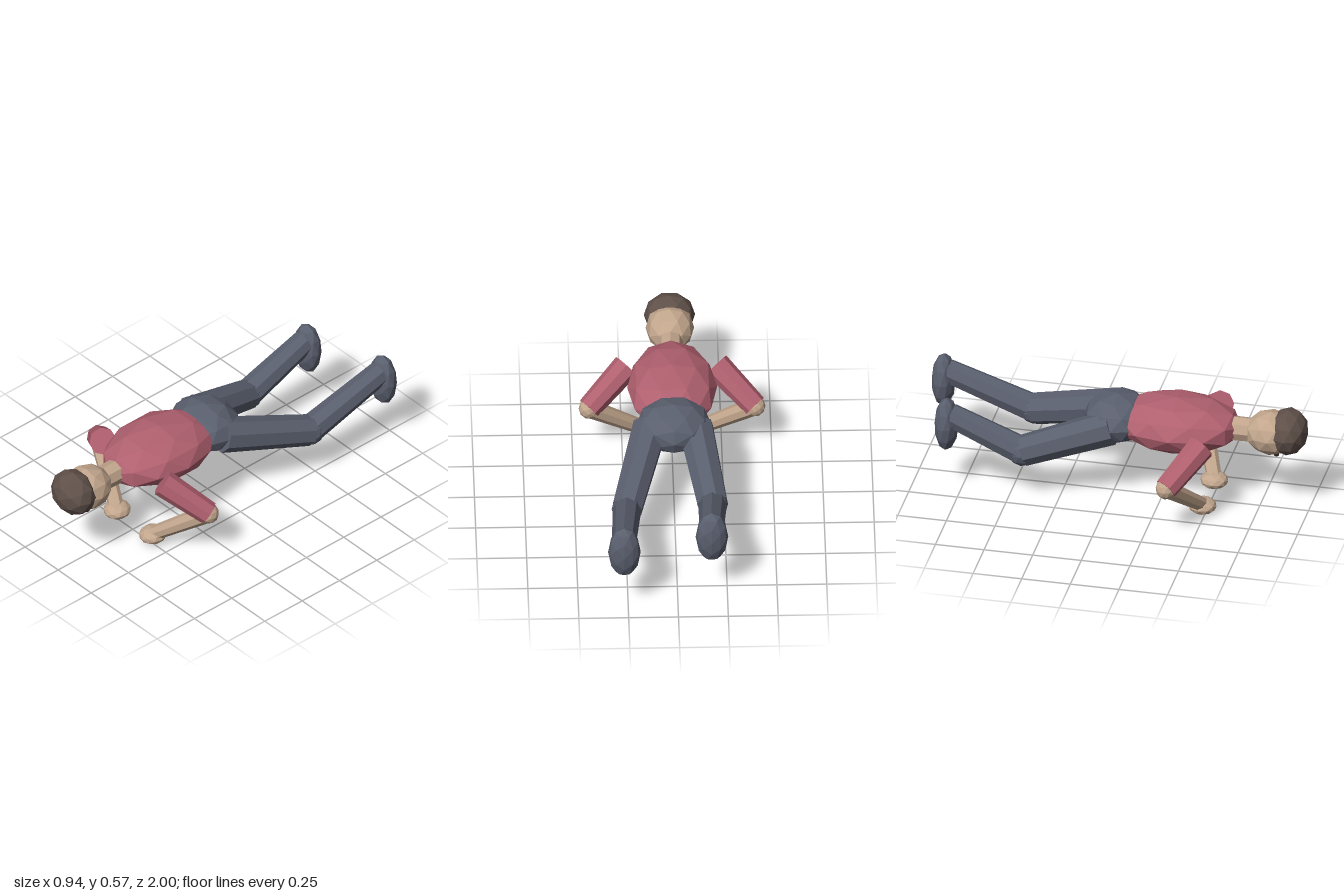
import * as THREE from 'three';

const mat = (name, color) => {
  const m = new THREE.MeshStandardMaterial({ color, flatShading: true });
  m.name = name;
  return m;
};

export function createModel() {
  const skin = mat('skin', 0xc2a68d);
  const shirt = mat('shirt', 0xb0606f);
  const trousers = mat('trousers', 0x5a5f6e);
  const hair = mat('hair', 0x5f5049);
  const eye = mat('eye', 0x2a2422);

  const body = new THREE.Group();
  body.name = 'proneFigure';

  // Faceted ellipsoid
  const blob = (name, material, center, radii) => {
    const geo = new THREE.IcosahedronGeometry(1, 1).scale(...radii);
    const mesh = new THREE.Mesh(geo, material);
    mesh.name = name;
    mesh.position.set(...center);
    body.add(mesh);
  };

  // Eight-sided tapered limb between two points
  const limb = (name, material, from, to, r0, r1) => {
    const a = new THREE.Vector3(...from), b = new THREE.Vector3(...to);
    const dir = b.clone().sub(a);
    const mesh = new THREE.Mesh(new THREE.CylinderGeometry(r1, r0, dir.length(), 8), material);
    mesh.name = name;
    mesh.position.copy(a).add(b).multiplyScalar(0.5);
    mesh.quaternion.setFromUnitVectors(new THREE.Vector3(0, 1, 0), dir.normalize());
    body.add(mesh);
  };

  // Trunk
  blob('torso', shirt, [0, 0.43, 0.325], [0.226, 0.14, 0.335]);
  blob('pelvis', trousers, [0, 0.43, 0.02], [0.19, 0.126, 0.172]);

  // Head, face down with the crown pointing forward
  limb('neck', skin, [0, 0.43, 0.55], [0, 0.43, 0.76], 0.065, 0.062);
  blob('head', skin, [0, 0.43, 0.81], [0.122, 0.115, 0.135]);
  blob('hair', hair, [0, 0.445, 0.897], [0.129, 0.12, 0.101]);

  for (const s of [1, -1]) {
    const side = s > 0 ? 'left' : 'right';
    blob(side + 'Eye', eye, [s * 0.043, 0.332, 0.845], [0.016, 0.013, 0.014]);

    // Arms, mirrored
    const elbow = [s * 0.417, 0.275, 0.36];
    limb(side + 'UpperArm', shirt, [s * 0.225, 0.43, 0.5], elbow, 0.07, 0.06);
    blob(side + 'Elbow', skin, elbow, [0.052, 0.054, 0.052]);
    limb(side + 'Forearm', skin, elbow, [s * 0.145, 0.055, 0.482], 0.048, 0.038);
    blob(side + 'Hand', skin, [s * 0.135, 0.043, 0.485], [0.068, 0.042, 0.072]);
  }

  // Legs, the left one reaching farther back
  const legs = [
    { side: 'left', hip: [0.12, 0.42, 0.01], knee: [0.245, 0.277, -0.465], foot: [0.27, 0.372, -0.937] },
    { side: 'right', hip: [-0.11, 0.42, 0.01], knee: [-0.185, 0.272, -0.43], foot: [-0.172, 0.372, -0.823] },
  ];
  for (const { side, hip, knee, foot } of legs) {
    limb(side + 'Thigh', trousers, hip, knee, 0.092, 0.08);
    blob(side + 'Knee', trousers, knee, [0.078, 0.078, 0.078]);
    limb(side + 'Shin', trousers, knee, [foot[0], 0.425, foot[2] + 0.02], 0.073, 0.062);
    blob(side + 'Foot', trousers, foot, [0.082, 0.148, 0.061]);
  }
  return body;
}
